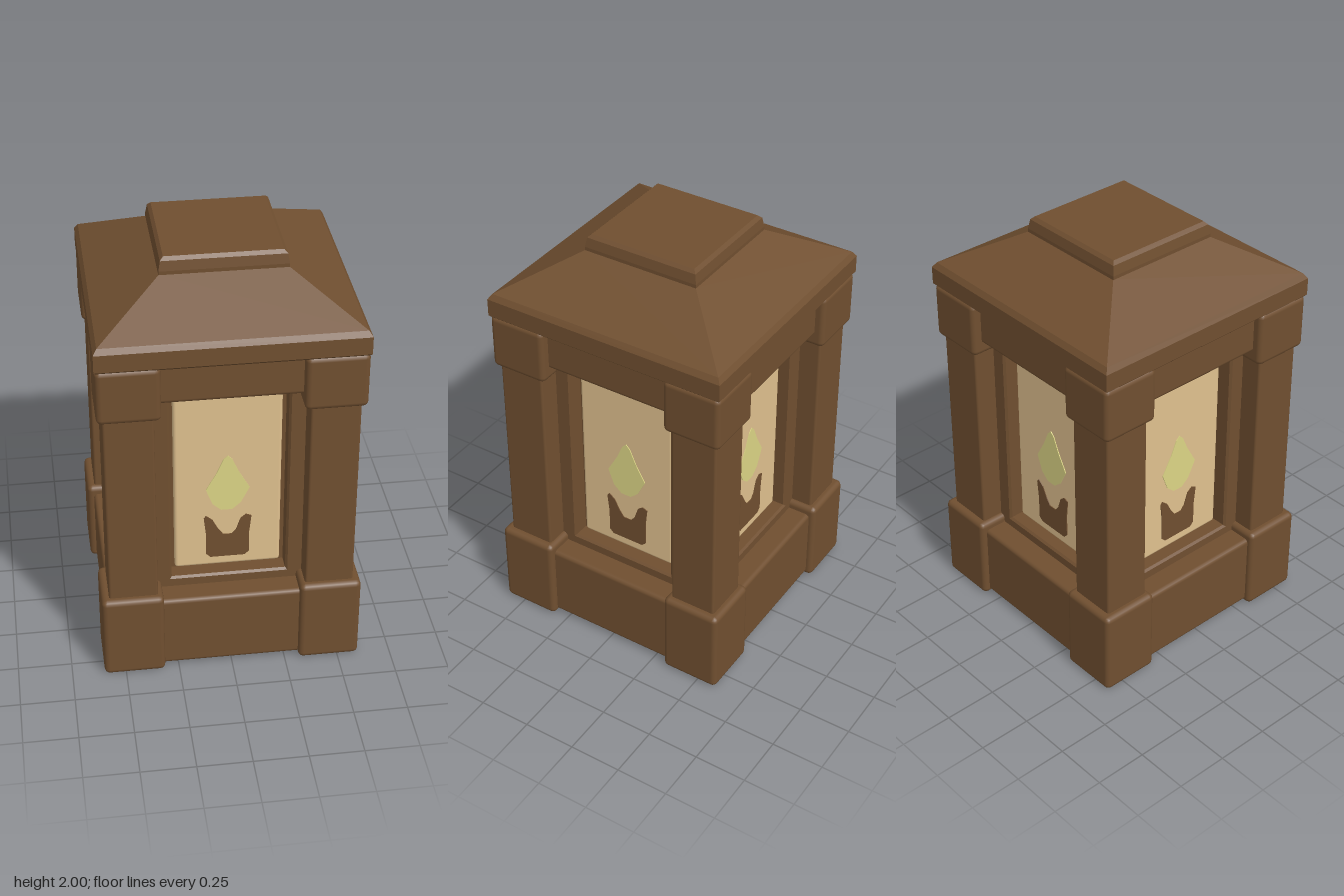
import * as THREE from 'three';
import { RoundedBoxGeometry } from 'three/addons/geometries/RoundedBoxGeometry.js';

const wood = new THREE.MeshStandardMaterial({ color: 0x704f30 });
wood.name = 'brown wood';
const glass = new THREE.MeshStandardMaterial({ color: 0xdfc08e });
glass.name = 'warm cream glass';
const glow = new THREE.MeshStandardMaterial({ color: 0xdcd585 });
glow.name = 'pale green flame';

function add(parent, name, geometry, material, x = 0, y = 0, z = 0) {
  const mesh = new THREE.Mesh(geometry, material);
  mesh.name = name;
  mesh.position.set(x, y, z);
  parent.add(mesh);
  return mesh;
}

// Soft-edged block standing between two heights
function block(parent, name, w, y0, y1, d, x = 0, z = 0, r = 0.02, material = wood) {
  return add(parent, name, new RoundedBoxGeometry(w, y1 - y0, d, 2, r), material, x, (y0 + y1) / 2, z);
}

// Square stack of [half width, height] rings with faceted sides
function squareStack(rings) {
  const points = rings.map(([h, y]) => new THREE.Vector2(h * Math.SQRT2, y));
  const geometry = new THREE.LatheGeometry(points, 4).rotateY(Math.PI / 4).toNonIndexed();
  geometry.computeVertexNormals();
  return geometry;
}

function outline(points) {
  return new THREE.Shape(points.map(([x, y]) => new THREE.Vector2(x, y)));
}

function thin(shape, depth = 0.006) {
  return new THREE.ExtrudeGeometry(shape, { depth, bevelEnabled: false });
}

// One window: frame, pane, candle and flame
function createWindow() {
  const side = new THREE.Group();

  const frame = outline([[-0.35, 0.37], [0.35, 0.37], [0.35, 1.46], [-0.35, 1.46]]);
  frame.holes.push(new THREE.Path([[-0.265, 0.435], [-0.265, 1.395], [0.265, 1.395], [0.265, 0.435]]
    .map(([x, y]) => new THREE.Vector2(x, y))));
  add(side, 'windowFrame', new THREE.ExtrudeGeometry(frame, {
    depth: 0.09, bevelThickness: 0.01, bevelSize: 0.01, bevelOffset: -0.01, bevelSegments: 1,
  }), wood, 0, 0, 0.36);

  block(side, 'pane', 0.49, 0.45, 1.375, 0.05, 0, 0.385, 0.015, glass);

  const candle = outline([
    [-0.08, 0.5], [0.08, 0.5], [0.1, 0.52], [0.1, 0.63], [0.11, 0.72], [0.085, 0.73],
    [0.06, 0.71], [0.04, 0.65], [0.02, 0.625], [-0.02, 0.625], [-0.045, 0.66],
    [-0.07, 0.71], [-0.1, 0.735], [-0.11, 0.72], [-0.1, 0.63], [-0.1, 0.52],
  ]);
  add(side, 'candle', thin(candle), wood, 0, 0, 0.408);

  const flame = outline([
    [-0.03, 0.765], [0.02, 0.765], [0.06, 0.8], [0.1, 0.88], [0.05, 0.97],
    [0.02, 1.04], [0, 1.06], [-0.02, 1.04], [-0.05, 0.97], [-0.1, 0.88], [-0.07, 0.8],
  ]);
  add(side, 'flame', thin(flame), glow, 0, 0, 0.408);
  return side;
}

export function createModel() {
  const lantern = new THREE.Group();
  lantern.name = 'lantern';

  // Base, inner core and upper beams
  block(lantern, 'base', 1.14, 0.015, 0.385, 1.14);
  block(lantern, 'core', 0.76, 0.3, 1.5, 0.76);
  block(lantern, 'upperBeam', 1.09, 1.44, 1.66, 1.09);

  // Corner posts with their feet and capitals
  for (const sx of [-1, 1]) {
    for (const sz of [-1, 1]) {
      const corner = new THREE.Group();
      corner.name = 'cornerPost';
      block(corner, 'foot', 0.285, 0, 0.425, 0.285, sx * 0.4575, sz * 0.4575, 0.025);
      block(corner, 'post', 0.225, 0.38, 1.42, 0.225, sx * 0.4525, sz * 0.4525, 0.012);
      block(corner, 'capital', 0.28, 1.38, 1.645, 0.28, sx * 0.45, sz * 0.45, 0.025);
      lantern.add(corner);
    }
  }

  // Windows on all four sides
  for (let i = 0; i < 4; i++) {
    const side = createWindow();
    side.name = 'window';
    side.rotation.y = i * Math.PI / 2;
    lantern.add(side);
  }

  // Sloping roof and its top cap
  add(lantern, 'roof', squareStack([
    [0, 1.635], [0.58, 1.635], [0.592, 1.647], [0.592, 1.73], [0.575, 1.755], [0.28, 1.925], [0, 1.925],
  ]), wood);
  add(lantern, 'roofCap', squareStack([
    [0, 1.92], [0.283, 1.92], [0.283, 1.94], [0.275, 1.985], [0.26, 2], [0, 2],
  ]), wood);

  return lantern;
}
